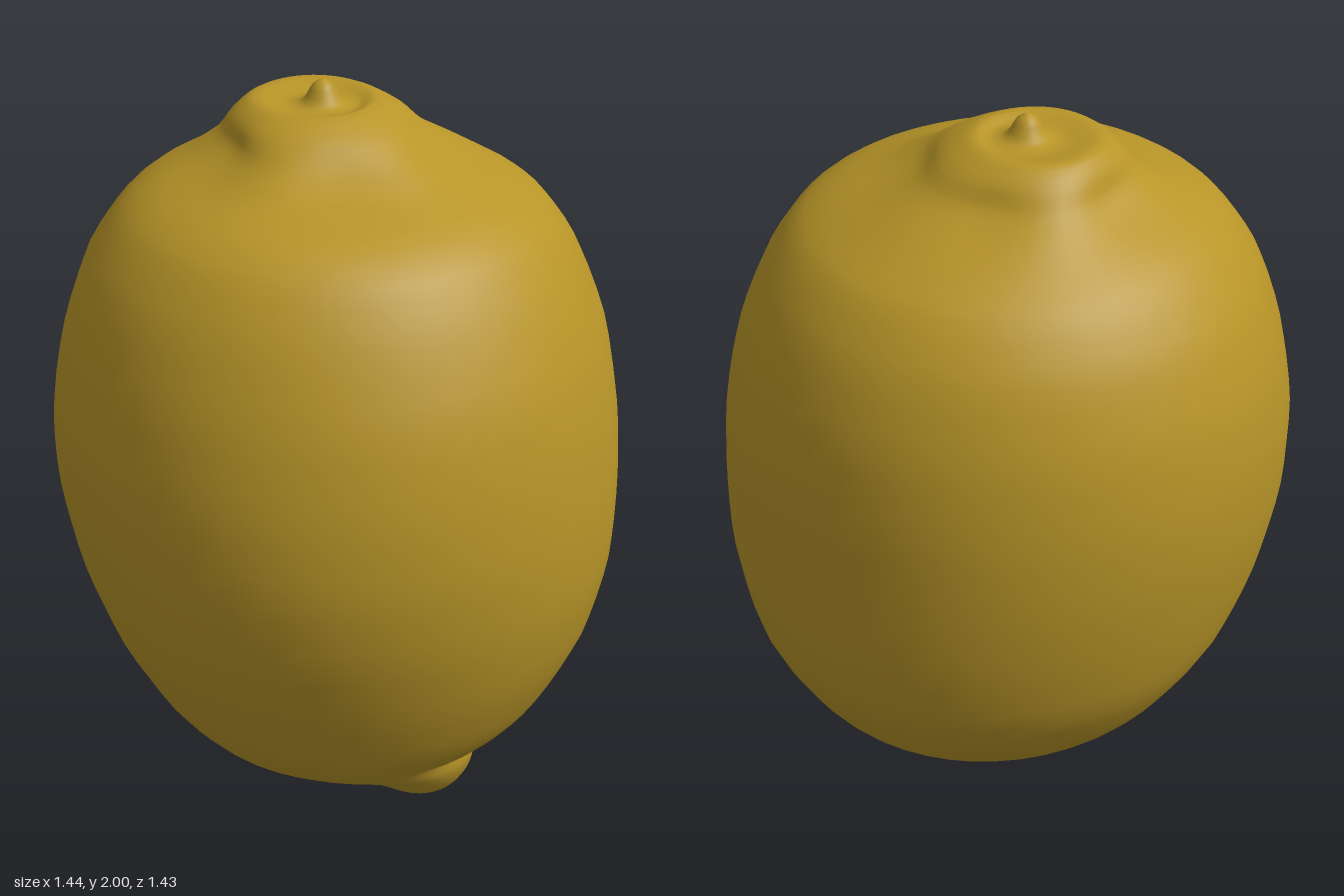
import * as THREE from 'three';
import { mergeVertices } from 'three/addons/utils/BufferGeometryUtils.js';

// Cross-sections from bottom to top: [y, xMin, xMax, zMin, zMax]
const SECTIONS = [
  [0, 0.18, 0.18, 0.13, 0.13], [0.015, 0.12, 0.24, 0.08, 0.19],
  [0.05, 0.07, 0.29, 0.04, 0.25], [0.1, 0, 0.32, 0, 0.29],
  [0.15, -0.09, 0.335, -0.06, 0.32], [0.2, -0.25, 0.35, -0.17, 0.345],
  [0.25, -0.35, 0.4, -0.28, 0.39], [0.31, -0.42, 0.48, -0.39, 0.47],
  [0.42, -0.51, 0.57, -0.5, 0.56], [0.6, -0.61, 0.67, -0.61, 0.64],
  [0.8, -0.68, 0.71, -0.67, 0.695], [1, -0.715, 0.715, -0.705, 0.715],
  [1.2, -0.717, 0.71, -0.713, 0.7], [1.4, -0.68, 0.68, -0.69, 0.655],
  [1.58, -0.615, 0.615, -0.63, 0.575], [1.7, -0.53, 0.53, -0.55, 0.495],
  [1.76, -0.45, 0.44, -0.48, 0.41], [1.81, -0.34, 0.35, -0.41, 0.28],
  [1.86, -0.26, 0.26, -0.35, 0.19], [1.91, -0.22, 0.21, -0.315, 0.12],
  [1.948, -0.16, 0.14, -0.27, 0.04], [1.935, -0.09, 0.09, -0.19, 0],
  [1.945, -0.05, 0.05, -0.14, -0.04], [1.985, -0.025, 0.025, -0.115, -0.065],
  [2, 0, 0, -0.09, -0.09],
];
const SIDES = 48;
const STEPS = 3;

// Smooth skin through the cross-sections, with soft lobes round the stem end
function skinGeometry() {
  const curve = (a, b) => new THREE.CatmullRomCurve3(
    SECTIONS.map((s) => new THREE.Vector3(s[a], s[0], s[b])), false, 'catmullrom', 0.4);
  const xs = curve(1, 2), zs = curve(3, 4);
  const rows = (SECTIONS.length - 1) * STEPS;
  const positions = [], index = [];
  for (let r = 0; r <= rows; r++) {
    const px = xs.getPoint(r / rows), pz = zs.getPoint(r / rows);
    const cx = (px.x + px.z) / 2, rx = (px.z - px.x) / 2;
    const cz = (pz.x + pz.z) / 2, rz = (pz.z - pz.x) / 2;
    const lobes = 0.05 * Math.exp(-(((px.y - 1.85) / 0.06) ** 2));
    for (let i = 0; i < SIDES; i++) {
      const a = (i / SIDES) * Math.PI * 2;
      const k = 1 + lobes * (Math.cos(a * 5) - 0.6) + 0.004 * Math.sin(a * 4 + px.y * 6);
      positions.push(cx + rx * k * Math.cos(a), Math.max(0, px.y), cz + rz * k * Math.sin(a));
      if (r === rows) continue;
      const p = r * SIDES + i, q = r * SIDES + ((i + 1) % SIDES);
      index.push(q, p, p + SIDES, q, p + SIDES, q + SIDES);
    }
  }
  const geometry = new THREE.BufferGeometry();
  geometry.setAttribute('position', new THREE.Float32BufferAttribute(positions, 3));
  geometry.setIndex(index);
  const merged = mergeVertices(geometry, 1e-5);
  merged.computeVertexNormals();
  return merged;
}

export function createModel() {
  const group = new THREE.Group();
  group.name = 'lemon';
  const peel = new THREE.MeshStandardMaterial({ color: 0xb89528 });
  peel.name = 'lemon peel';
  const fruit = new THREE.Mesh(skinGeometry(), peel);
  fruit.name = 'fruit';
  group.add(fruit);
  return group;
}
